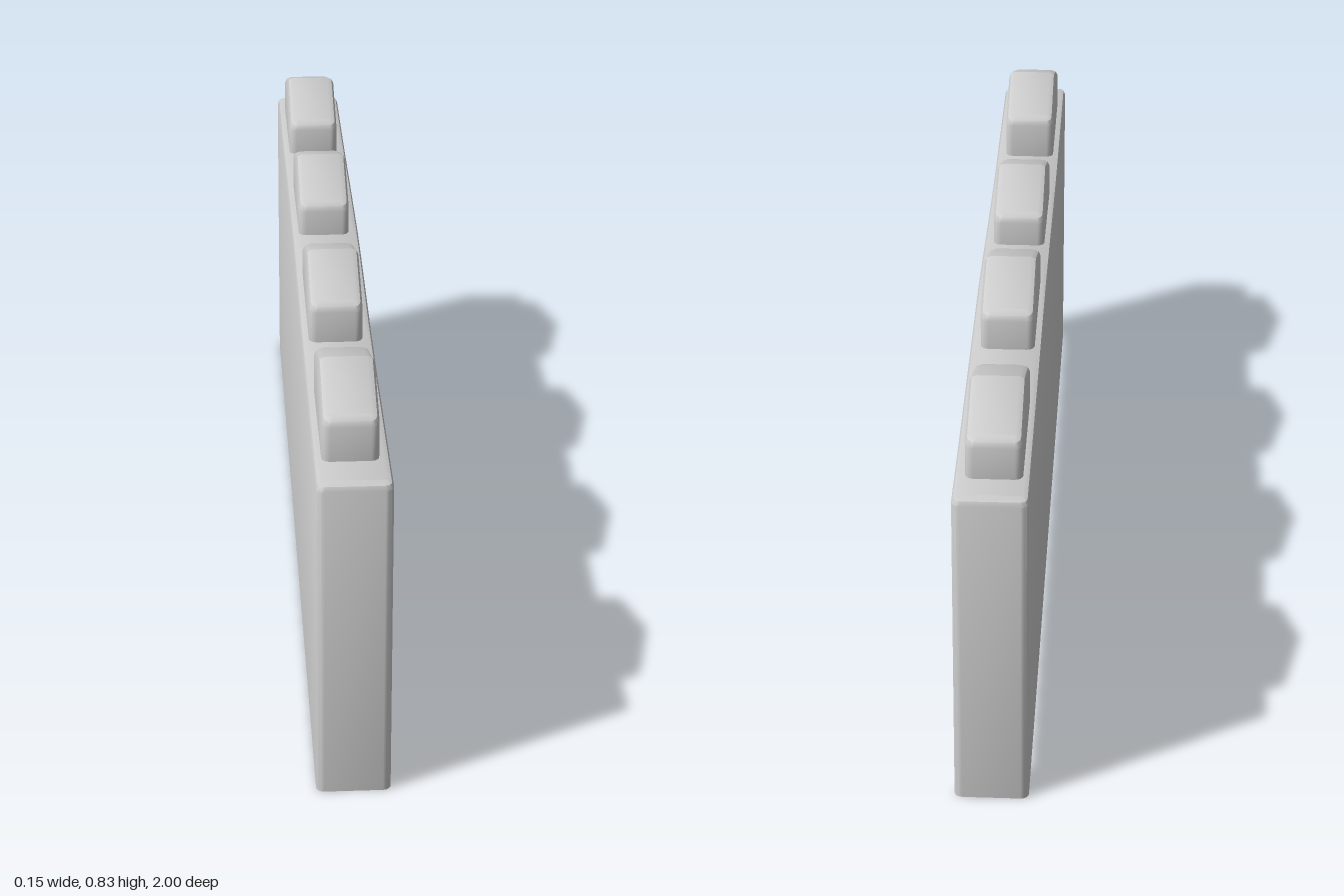
import * as THREE from 'three';
import { toCreasedNormals } from 'three/addons/utils/BufferGeometryUtils.js';

const material = new THREE.MeshStandardMaterial({ color: 0xcccccc, side: THREE.DoubleSide });

// Outline of a rounded rectangle: right side front to back, then left side back to front
function outline(width, length, radius, inset, innerZ) {
  const half = [];
  const arc = 4;
  const r = Math.max(radius - inset * 0.5, 0.002);
  const w = width / 2 - inset, l = length / 2 - inset;
  for (let k = 0; k <= arc; k++) {
    const a = (k / arc) * Math.PI / 2;
    half.push([w - r + r * Math.sin(a), l - r + r * Math.cos(a)]);
  }
  const corner = half.slice();
  innerZ.forEach(z => half.push([w, z]));
  corner.reverse().forEach(([x, z]) => half.push([x, -z]));
  return { half, arc };
}

// Shell open below and on the long +x face, with a bevelled top following topY(z)
function openShell({ width, length, radius, bevel, base, topY, innerZ }) {
  const levels = [
    { inset: 0, y: () => base },
    { inset: 0, y: z => topY(z) - bevel },
    { inset: bevel * 0.3, y: z => topY(z) - bevel * 0.3 },
    { inset: bevel, y: z => topY(z) },
  ];
  const positions = [], index = [];
  let n = 0, arc = 0;
  for (const level of levels) {
    const o = outline(width, length, radius, level.inset, innerZ);
    n = o.half.length;
    arc = o.arc;
    const left = o.half.map(([x, z]) => [-x, z]).reverse();
    for (const [x, z] of [...o.half, ...left]) positions.push(x, level.y(z), z);
  }
  const count = n * 2;
  const quad = (a, b, c, d) => index.push(a, b, c, a, c, d);
  // Sides and bevels
  for (let j = 0; j < levels.length - 1; j++) {
    for (let i = 0; i < count; i++) {
      if (j === 0 && i >= arc && i < n - 1 - arc) continue; // open long side
      const k = (i + 1) % count;
      quad(j * count + i, j * count + k, (j + 1) * count + k, (j + 1) * count + i);
    }
  }
  // Top
  const top = (levels.length - 1) * count;
  for (let i = 0; i < n - 1; i++) {
    quad(top + i, top + i + 1, top + count - 2 - i, top + count - 1 - i);
  }
  const geometry = new THREE.BufferGeometry();
  geometry.setAttribute('position', new THREE.Float32BufferAttribute(positions, 3));
  geometry.setIndex(index);
  return toCreasedNormals(geometry, 0.55);
}

// Slightly uneven height of the wall top, as [z, y]
const crest = [[1, 0.685], [0.5, 0.677], [0.3, 0.682], [0, 0.698], [-0.15, 0.702], [-0.4, 0.694], [-0.7, 0.683], [-1, 0.678]];
function crestHeight(z) {
  for (let i = 0; i < crest.length - 1; i++) {
    const [z0, y0] = crest[i], [z1, y1] = crest[i + 1];
    if (z >= z1) return THREE.MathUtils.lerp(y0, y1, (z0 - z) / (z0 - z1));
  }
  return crest[crest.length - 1][1];
}

export function createModel() {
  const group = new THREE.Group();
  group.name = 'battlementWall';

  // Wall
  const wall = new THREE.Mesh(openShell({
    width: 0.147, length: 2, radius: 0.016, bevel: 0.013, base: 0,
    topY: crestHeight, innerZ: crest.slice(1, -1).map(p => p[0]),
  }), material);
  wall.name = 'wall';
  group.add(wall);

  // Gabled merlons along the top
  const merlons = [[0.745, 0.826], [0.228, 0.817], [-0.262, 0.827], [-0.763, 0.816]];
  const length = 0.316, rise = 0.057;
  merlons.forEach(([z, peak], i) => {
    const merlon = new THREE.Mesh(openShell({
      width: 0.11, length, radius: 0.016, bevel: 0.014, base: 0.672,
      topY: u => peak - rise * Math.abs(u) / (length / 2), innerZ: [0],
    }), material);
    merlon.name = `merlon${i + 1}`;
    merlon.position.set(-0.003, 0, z);
    group.add(merlon);
  });
  return group;
}
